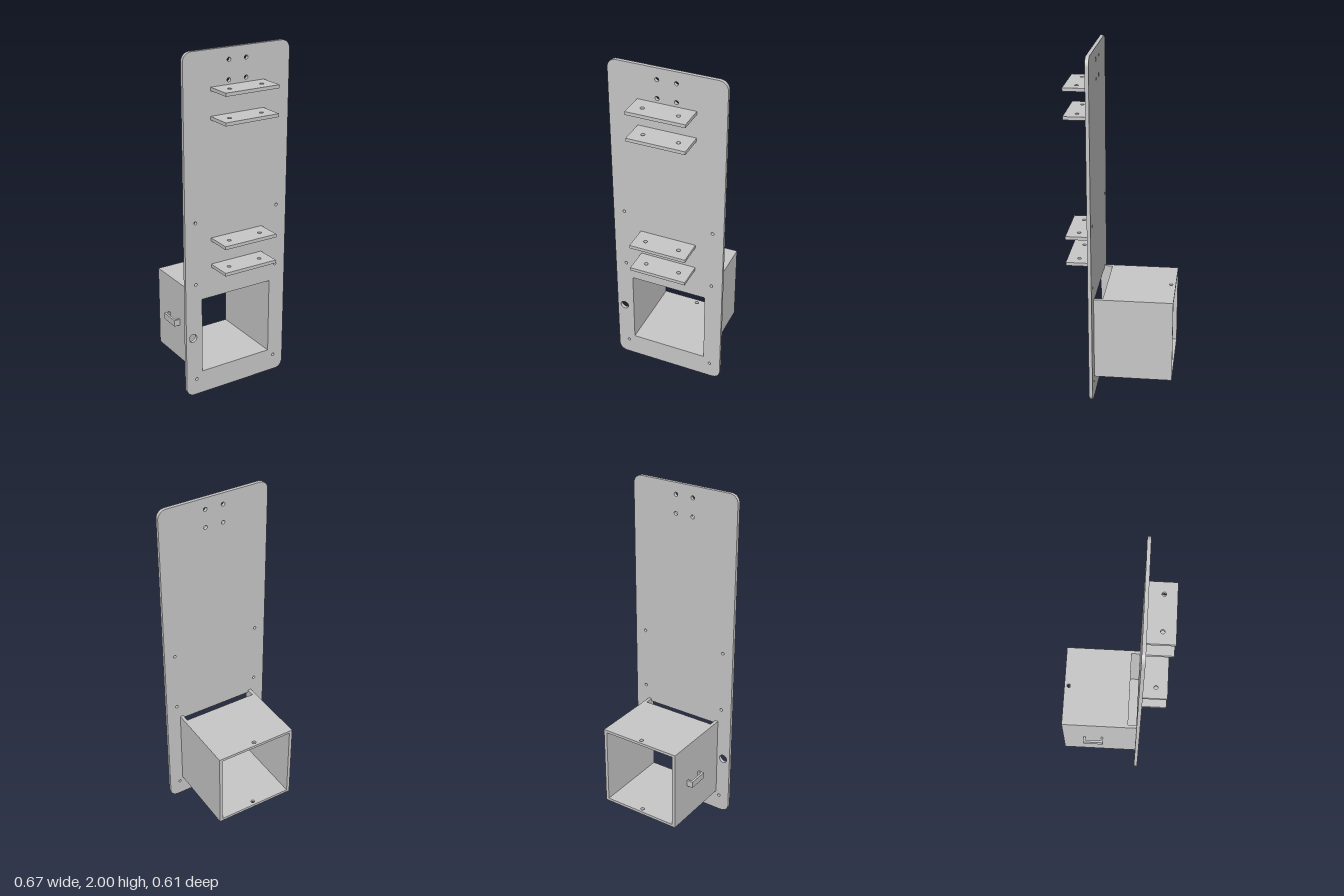
import * as THREE from 'three';

const grey = new THREE.MeshStandardMaterial({ color: 0xc7c7c7 });
grey.name = 'lightGrey';

// Closed outline from corner points
function outline(points) {
  return new THREE.Shape(points.map(([x, y]) => new THREE.Vector2(x, y)));
}

function rect(x0, y0, x1, y1) {
  return outline([[x0, y0], [x1, y0], [x1, y1], [x0, y1]]);
}

function drill(shape, x, y, r) {
  shape.holes.push(new THREE.Path().absarc(x, y, r, 0, Math.PI * 2, true));
}

function extrude(shape, depth) {
  return new THREE.ExtrudeGeometry(shape, { depth, bevelEnabled: false, curveSegments: 12 });
}

// Horizontal slab: shape is drawn in x and z, thickness runs down from top
function slab(shape, top, thickness) {
  return extrude(shape, thickness).rotateX(Math.PI / 2).translate(0, top, 0);
}

export function createModel() {
  const model = new THREE.Group();
  model.name = 'mountingPanel';
  const add = (name, geometry) => {
    const mesh = new THREE.Mesh(geometry, grey);
    mesh.name = name;
    model.add(mesh);
  };

  // Back plate with rounded corners, window and screw holes
  const w = 0.333, r = 0.05;
  const plate = new THREE.Shape();
  plate.absarc(w - r, r, r, -Math.PI / 2, 0);
  plate.absarc(w - r, 2 - r, r, 0, Math.PI / 2);
  plate.absarc(-w + r, 2 - r, r, Math.PI / 2, Math.PI);
  plate.absarc(-w + r, r, r, Math.PI, Math.PI * 1.5);
  plate.closePath();
  plate.holes.push(rect(-0.228, 0.14, 0.228, 0.598));
  for (const s of [-1, 1]) {
    for (const y of [1.934, 1.827]) drill(plate, s * 0.054, y, 0.0115);
    for (const y of [1.064, 0.698, 0.098]) drill(plate, s * 0.267, y, 0.009);
  }
  drill(plate, -0.289, 0.369, 0.025);
  add('plate', extrude(plate, 0.02).translate(0, 0, 0.14));

  // Four shelves on the front, each with two holes
  for (const y of [1.802, 1.646, 0.957, 0.8]) {
    const shelf = rect(-0.167, 0.16, 0.167, 0.307);
    for (const x of [-0.1, 0.1]) drill(shelf, x, 0.239, 0.0115);
    add('shelf', slab(shelf, y, 0.019));
  }

  // Open box behind the window
  const back = -0.307, front = 0.14, inner = 0.228, outer = 0.247;
  const roof = rect(-inner, back, inner, 0.09);
  const floor = rect(-inner, back, inner, front);
  for (const shape of [roof, floor]) drill(shape, 0, -0.28, 0.0115);
  add('boxRoof', slab(roof, 0.614, 0.016));
  add('boxFloor', slab(floor, 0.14, 0.016));
  for (const s of [-1, 1]) {
    const side = new THREE.BoxGeometry(outer - inner, 0.49, front - back);
    side.translate(s * (outer + inner) / 2, 0.369, (front + back) / 2);
    add('boxSide', side);
  }

  // U-shaped handle on the box side
  const handle = outline([
    [-0.247, -0.182], [-0.247, -0.17], [-0.27, -0.17], [-0.27, -0.073],
    [-0.247, -0.073], [-0.247, -0.061], [-0.283, -0.061], [-0.283, -0.182],
  ]);
  add('handle', slab(handle, 0.381, 0.038));

  return model;
}
